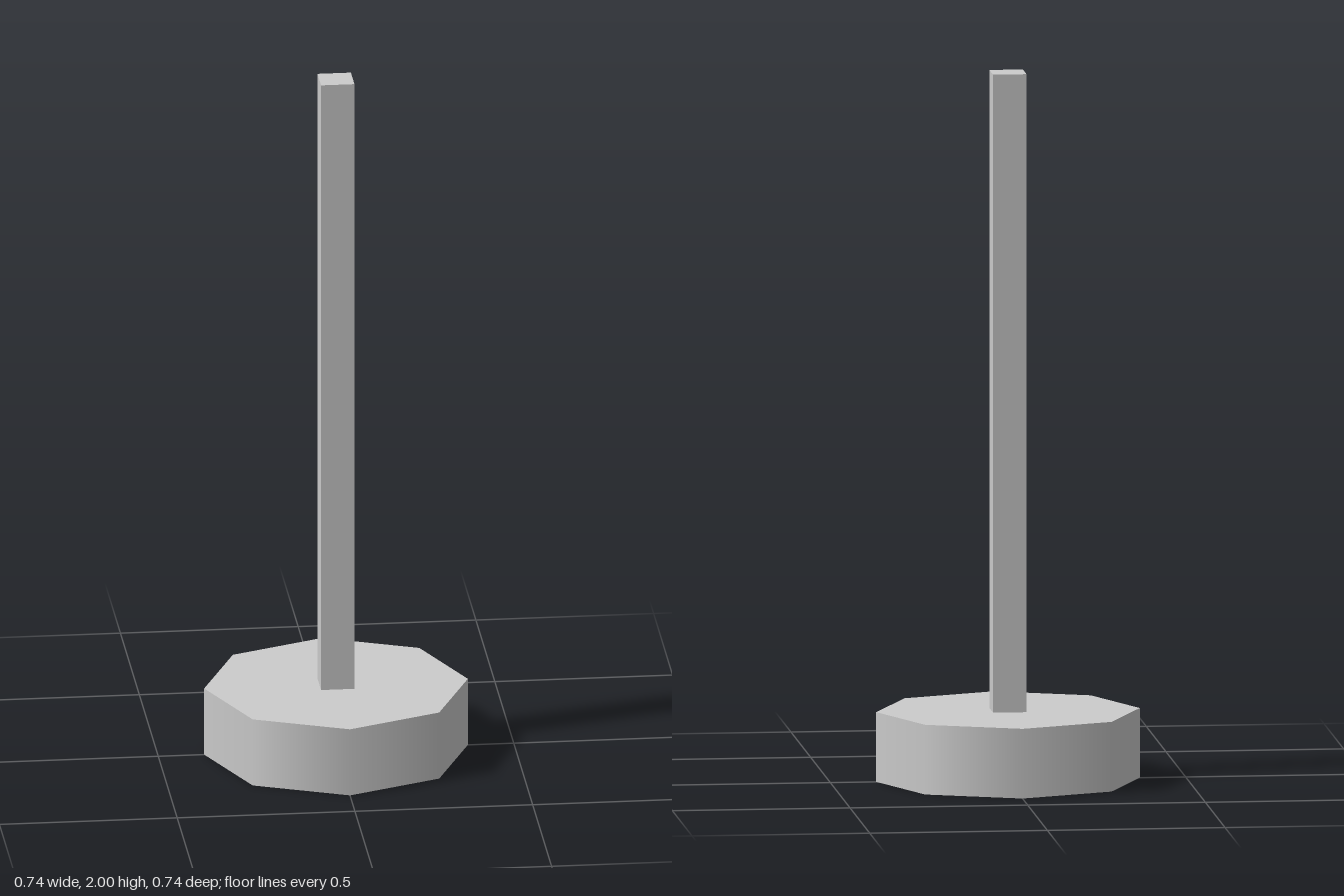
import * as THREE from 'three';

const BASE_RADIUS = 0.371;
const BASE_HEIGHT = 0.197;
const POST_WIDTH = 0.094;
const TOTAL_HEIGHT = 2;

export function createModel() {
  const group = new THREE.Group();
  const material = new THREE.MeshStandardMaterial({ color: 0xcccccc });

  const addPart = (name, geometry, y) => {
    const mesh = new THREE.Mesh(geometry, material);
    mesh.name = name;
    mesh.position.y = y;
    group.add(mesh);
  };

  // Eight-sided foot with smooth-shaded sides
  addPart('base', new THREE.CylinderGeometry(BASE_RADIUS, BASE_RADIUS, BASE_HEIGHT, 8), BASE_HEIGHT / 2);

  // Square post standing on the foot
  const postHeight = TOTAL_HEIGHT - BASE_HEIGHT;
  addPart('post', new THREE.BoxGeometry(POST_WIDTH, postHeight, POST_WIDTH), BASE_HEIGHT + postHeight / 2);

  return group;
}
